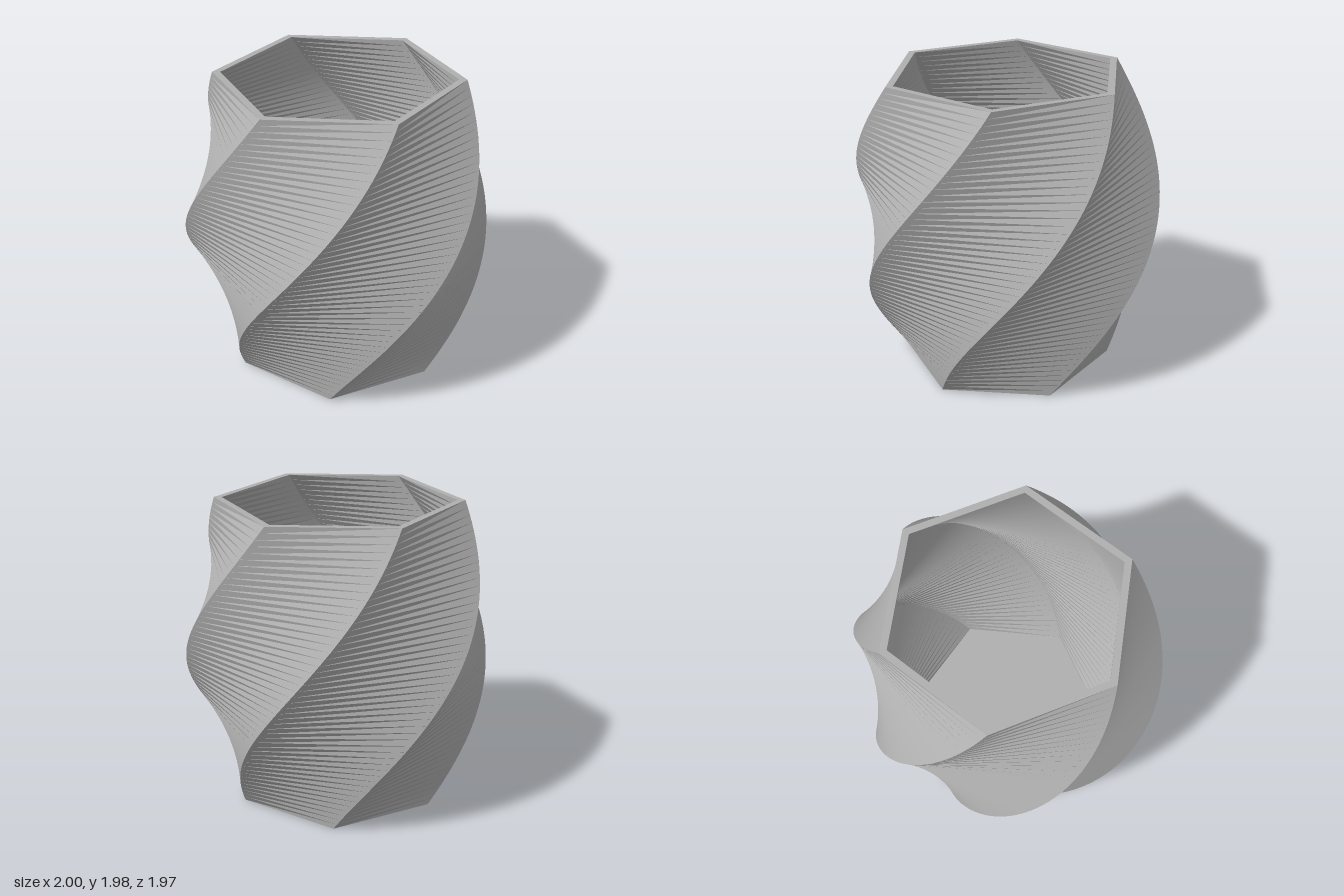
import * as THREE from 'three';

const HEIGHT = 1.975, SIDES = 6, LAYERS = 48, WALL = 0.05, FLOOR = 0.06;
const TWIST = Math.PI / 2;

// Outer corner radius at height fraction t: a tapered tube with a sine bulge
const radiusAt = t => 0.7 + 0.095 * t + 0.26 * Math.sin(Math.PI * t);

// Hexagonal tube from y0 to the top, twisted a quarter turn and bulged
function twistedTube(y0, inset) {
  const h = HEIGHT - y0;
  const geo = new THREE.CylinderGeometry(1, 1, h, SIDES, LAYERS, true, Math.PI / 6);
  geo.translate(0, y0 + h / 2, 0);
  const pos = geo.attributes.position;
  for (let i = 0; i < pos.count; i++) {
    const y = pos.getY(i), t = y / HEIGHT;
    const angle = Math.atan2(pos.getX(i), pos.getZ(i)) + TWIST * t;
    const r = radiusAt(t) - inset;
    pos.setXYZ(i, r * Math.sin(angle), y, r * Math.cos(angle));
  }
  return geo;
}

export function createModel() {
  const group = new THREE.Group();
  group.name = 'twistedVase';
  const grey = new THREE.MeshStandardMaterial({ color: 0xb0b0b0, flatShading: true });
  grey.name = 'grey';

  const add = (name, geo) => {
    geo.computeVertexNormals();
    const mesh = new THREE.Mesh(geo, grey);
    mesh.name = name;
    group.add(mesh);
  };

  // Outer wall
  add('outerWall', twistedTube(0, 0));

  // Inner wall, with its faces turned inwards
  const inner = twistedTube(FLOOR, WALL);
  inner.index.array.reverse();
  add('innerWall', inner);

  // Flat rim joining the two walls
  const topRadius = radiusAt(1);
  add('rim', new THREE.RingGeometry(topRadius - WALL, topRadius, SIDES, 1, TWIST)
    .rotateX(-Math.PI / 2).translate(0, HEIGHT, 0));

  // Inside floor, turned to meet the inner wall
  const t = FLOOR / HEIGHT;
  add('floor', new THREE.CircleGeometry(radiusAt(t) - WALL, SIDES, TWIST * t)
    .rotateX(-Math.PI / 2).translate(0, FLOOR, 0));

  // Underside
  add('base', new THREE.CircleGeometry(radiusAt(0), SIDES).rotateX(Math.PI / 2));

  return group;
}
